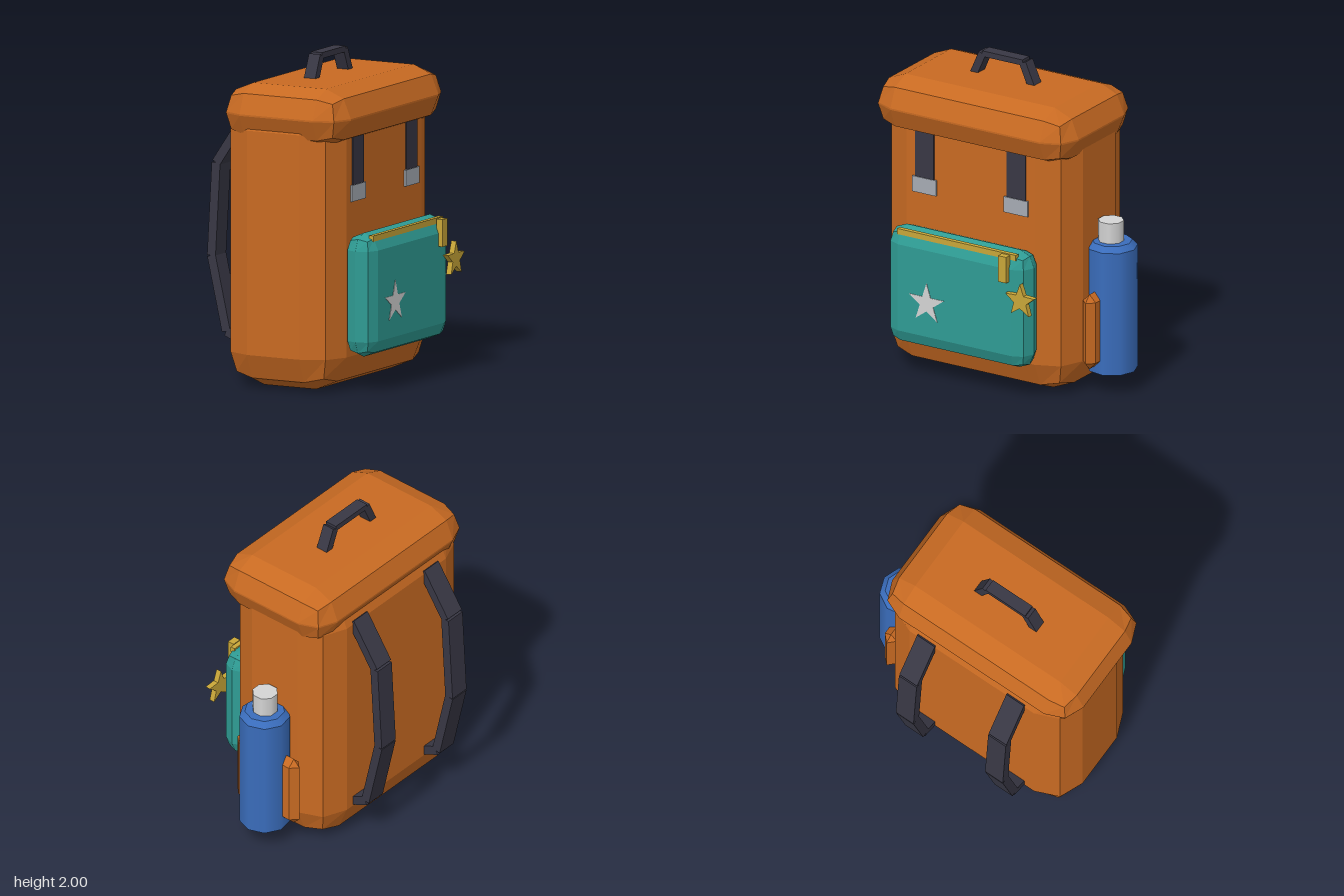
import * as THREE from 'three';
import { RoundedBoxGeometry } from 'three/addons/geometries/RoundedBoxGeometry.js';
import { ConvexGeometry } from 'three/addons/geometries/ConvexGeometry.js';

const mat = (name, color) => {
  const m = new THREE.MeshStandardMaterial({ color });
  m.name = name;
  return m;
};

export function createModel() {
  const model = new THREE.Group();
  model.name = 'backpack';
  const canvas = mat('orange canvas', 0xc86a22);
  const teal = mat('teal pocket', 0x2f9c94);
  const webbing = mat('dark webbing', 0x383744);
  const steel = mat('grey buckle', 0xa6abb3);
  const brass = mat('brass', 0xc8a638);
  const white = mat('white', 0xd4d4d4);
  const blue = mat('blue bottle', 0x3a6dbc);

  const add = (name, geometry, material, x, y, z, parent = model) => {
    const mesh = new THREE.Mesh(geometry, material);
    mesh.name = name;
    mesh.position.set(x, y, z);
    parent.add(mesh);
    return mesh;
  };

  // Block given by its limits on each axis
  const block = (name, material, [x0, x1], [y0, y1], [z0, z1]) =>
    add(name, new THREE.BoxGeometry(x1 - x0, y1 - y0, z1 - z0), material,
      (x0 + x1) / 2, (y0 + y1) / 2, (z0 + z1) / 2);

  // Faceted padded block, two flat bevels per edge
  const padded = (name, material, [x0, x1], [y0, y1], [z0, z1], radius) => {
    const g = new RoundedBoxGeometry(x1 - x0, y1 - y0, z1 - z0, 1, radius);
    g.computeVertexNormals();
    return add(name, g, material, (x0 + x1) / 2, (y0 + y1) / 2, (z0 + z1) / 2);
  };

  // Flat bars joining successive points of a path in the XY plane
  const bars = (name, points, thickness, width) => {
    const group = new THREE.Group();
    group.name = name;
    for (let i = 0; i < points.length - 1; i++) {
      const [ax, ay] = points[i], [bx, by] = points[i + 1];
      const t = Array.isArray(thickness) ? thickness[i] : thickness;
      const g = new THREE.BoxGeometry(Math.hypot(bx - ax, by - ay), t, width);
      add(name + 'Segment', g, webbing, (ax + bx) / 2, (ay + by) / 2, 0, group)
        .rotation.z = Math.atan2(by - ay, bx - ax);
    }
    model.add(group);
    return group;
  };

  // Five-pointed star facing +x
  const star = (name, material, outer, inner, depth, x, y, z) => {
    const shape = new THREE.Shape();
    for (let i = 0; i < 10; i++) {
      const a = Math.PI / 2 + i * Math.PI / 5, r = i % 2 ? inner : outer;
      shape[i ? 'lineTo' : 'moveTo'](r * Math.cos(a), r * Math.sin(a));
    }
    shape.closePath();
    const g = new THREE.ExtrudeGeometry(shape, { depth, bevelEnabled: false });
    add(name, g.rotateY(Math.PI / 2), material, x, y, z);
  };

  // Main bag, lid and pocket
  padded('body', canvas, [-0.39, 0.39], [0, 1.79], [-0.56, 0.78], 0.21);
  padded('lid', canvas, [-0.385, 0.46], [1.502, 1.852], [-0.6, 0.81], 0.17);
  padded('pocket', teal, [0.375, 0.577], [0.215, 0.97], [-0.4, 0.613], 0.1);

  // Closing straps with buckles
  for (const z of [0.437, -0.22]) {
    block('closingStrap', webbing, [0.37, 0.397], [1.2, 1.6], [z - 0.067, z + 0.067]);
    block('buckle', steel, [0.37, 0.402], [1.155, 1.255], [z - 0.085, z + 0.085]);
  }

  // Zip, pull tab and stars
  block('zip', brass, [0.525, 0.555], [0.925, 0.961], [-0.32, 0.53]);
  block('zipPull', brass, [0.562, 0.606], [0.79, 0.957], [-0.285, -0.225]);
  star('starCharm', brass, 0.109, 0.046, 0.035, 0.576, 0.695, -0.385);
  star('starPatch', white, 0.131, 0.05, 0.005, 0.575, 0.53, 0.305);

  // Shoulder straps
  for (const z of [-0.225, 0.433]) {
    bars('shoulderStrap', [[-0.37, 1.59], [-0.555, 1.315], [-0.587, 0.745],
      [-0.485, 0.29], [-0.37, 0.238]], 0.058, 0.13).position.z = z;
  }

  // Carry handle
  const handle = bars('handle', [[0.21, 1.83], [0.145, 1.978], [-0.145, 1.978], [-0.21, 1.83]],
    [0.05, 0.036, 0.05], 0.078);
  handle.rotation.y = Math.PI / 2;
  handle.position.set(0.003, 0.004, 0.108);

  // Bottle holder with a single bevel all round
  const corners = [];
  for (const sx of [-1, 1]) for (const sy of [-1, 1]) {
    corners.push(new THREE.Vector3(sx * 0.2, sy * 0.195, 0.045),
      new THREE.Vector3(sx * 0.2, sy * 0.195, -0.045),
      new THREE.Vector3(sx * 0.245, sy * 0.195, 0),
      new THREE.Vector3(sx * 0.2, sy * 0.24, 0));
  }
  add('bottleHolder', new ConvexGeometry(corners), canvas, 0, 0.418, -0.62);

  // Bottle: smooth side, bevelled shoulder, flat ends
  const side = new THREE.CylinderGeometry(0.155, 0.155, 0.785, 9);
  const shoulder = new THREE.CylinderGeometry(0.122, 0.155, 0.035, 9);
  add('bottle', side, blue, 0, 0.5275, -0.655).rotation.y = Math.PI;
  add('bottleShoulder', shoulder, blue, 0, 0.9375, -0.655).rotation.y = Math.PI;
  add('bottleCap', new THREE.CylinderGeometry(0.079, 0.079, 0.135, 8), white, 0.003, 1.0175, -0.648)
    .rotation.y = Math.PI / 8;

  return model;
}
